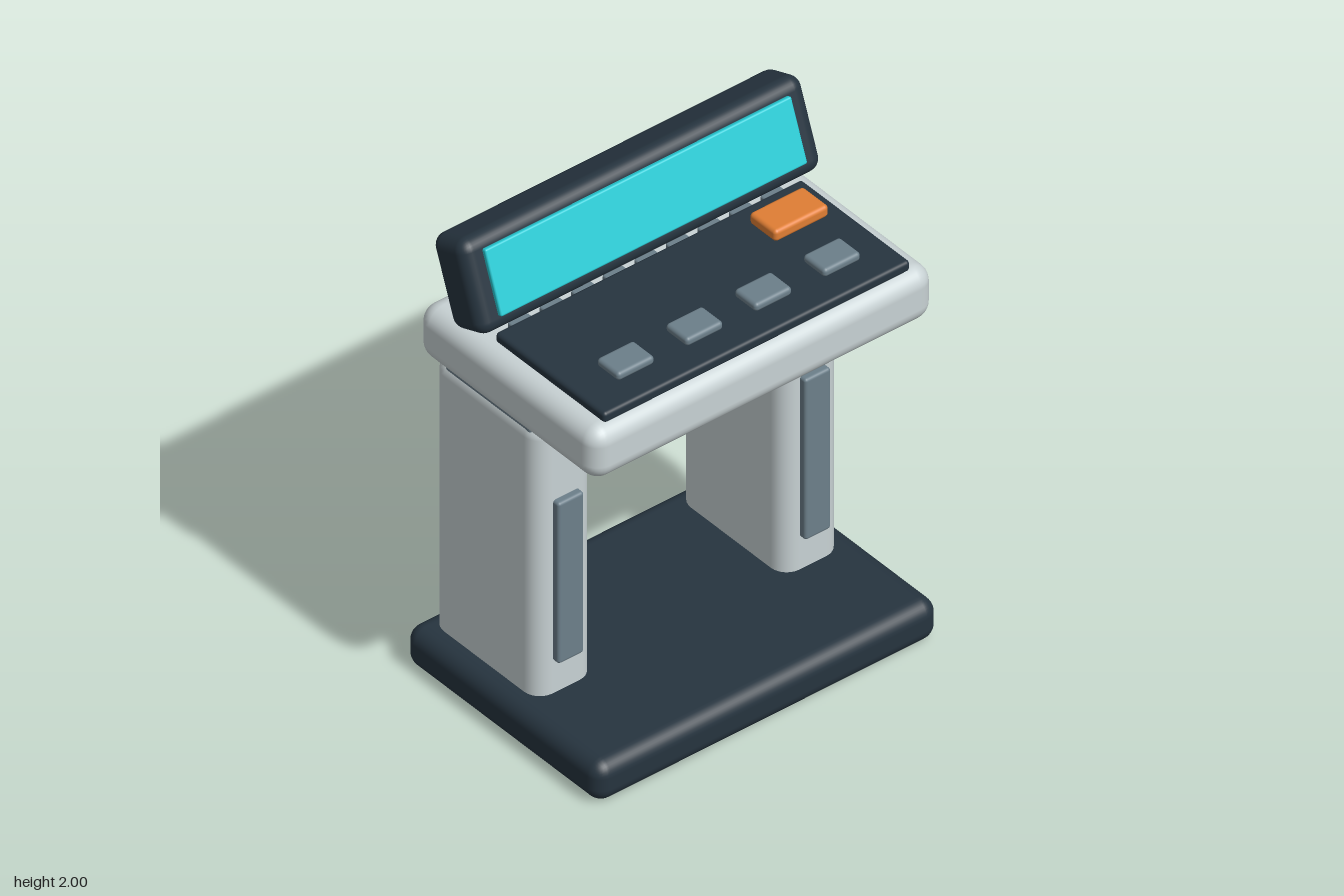
import * as THREE from 'three';
import { RoundedBoxGeometry } from 'three/addons/geometries/RoundedBoxGeometry.js';

const mat = (color) => new THREE.MeshStandardMaterial({ color });

export function createModel() {
  const model = new THREE.Group();
  model.name = 'console';
  const shell = mat(0xc8d2d4), dark = mat(0x26343f), steel = mat(0x6c7f8a);
  const teal = mat(0x28ccd6), orange = mat(0xe07e34);

  // Rounded block given by its [min, max] range on each axis
  const block = (name, material, x, y, z, radius, parent = model) => {
    const size = [x, y, z].map(([a, b]) => b - a);
    const mesh = new THREE.Mesh(new RoundedBoxGeometry(...size, 4, radius), material);
    mesh.position.set(...[x, y, z].map(([a, b]) => (a + b) / 2));
    mesh.name = name;
    parent.add(mesh);
    return mesh;
  };

  // Foot plate
  block('base', dark, [-0.76, 0.76], [0, 0.17], [-0.53, 0.53], 0.06);

  // Two legs with a raised strip on the front
  for (const [side, s] of [['left', 1], ['right', -1]]) {
    const span = (a, b) => (s > 0 ? [a, b] : [-b, -a]);
    block(side + 'Leg', shell, span(0.418, 0.677), [0.1, 1.35], [-0.48, 0.095], 0.07);
    block(side + 'LegStrip', steel, span(0.49, 0.605), [0.31, 1.01], [0.085, 0.125], 0.012);
  }

  // Beam joining the legs below the worktop
  block('crossBeam', steel, [-0.67, 0.67], [1.21, 1.45], [-0.425, 0.06], 0.025);

  // Worktop and its control panel
  block('worktop', shell, [-0.76, 0.76], [1.385, 1.61], [-0.465, 0.51], 0.07);
  block('controlPanel', dark, [-0.68, 0.68], [1.6, 1.645], [-0.13, 0.465], 0.015);

  // Row of small vents behind the panel
  for (let i = 0; i < 9; i++) {
    const x = -0.56 + i * 0.14;
    block('vent', steel, [x - 0.045, x + 0.045], [1.605, 1.637], [-0.155, -0.12], 0.008);
  }

  // Keys hovering just above the panel
  for (let i = 0; i < 4; i++) {
    const x = -0.46 + i * 0.305;
    block('key', steel, [x - 0.082, x + 0.082], [1.66, 1.696], [0.252, 0.372], 0.015);
  }
  block('actionKey', orange, [0.365, 0.605], [1.663, 1.713], [-0.03, 0.115], 0.016);

  // Tilted display
  const display = new THREE.Group();
  display.name = 'display';
  display.position.set(0, 1.81, -0.245);
  display.rotation.x = -0.36;
  block('displayCase', dark, [-0.76, 0.76], [-0.182, 0.182], [-0.097, 0.097], 0.05, display);
  block('screen', teal, [-0.68, 0.68], [-0.127, 0.129], [0.085, 0.115], 0.008, display);
  model.add(display);

  return model;
}
